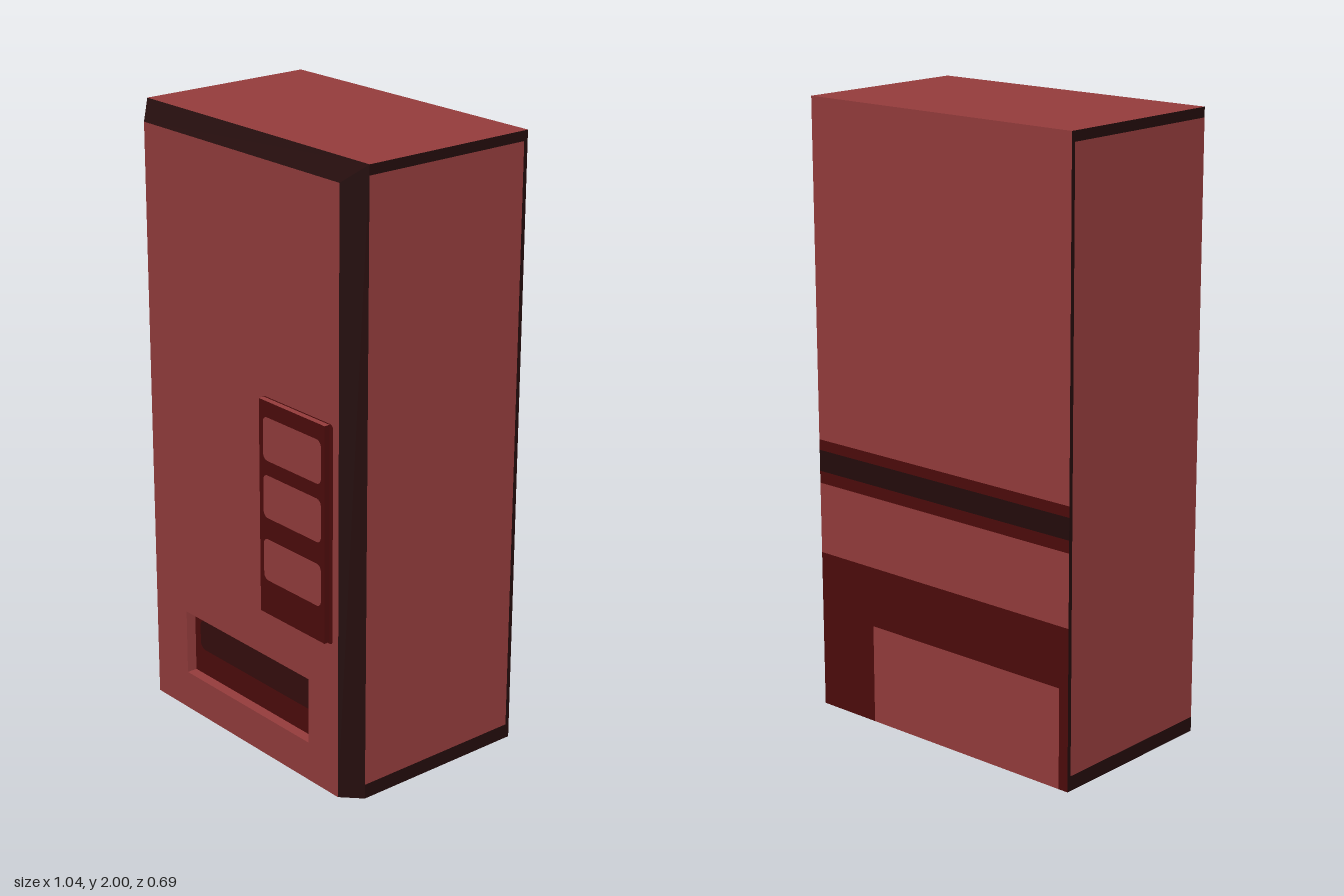
import * as THREE from 'three';

const W = 0.52, BACK = -0.345, SHOULDER = 0.267, FRONT = 0.325, FW = 0.46, FT = 1.945, H = 2;

const material = (name, color) => {
  const m = new THREE.MeshStandardMaterial({ color });
  m.name = name;
  return m;
};

// Flat convex face from corners listed anticlockwise as seen from outside
function face(name, mat, corners) {
  const g = new THREE.BufferGeometry();
  g.setAttribute('position', new THREE.Float32BufferAttribute(corners.flat(), 3));
  const index = [];
  for (let i = 1; i < corners.length - 1; i++) index.push(0, i, i + 1);
  g.setIndex(index);
  g.computeVertexNormals();
  const mesh = new THREE.Mesh(g, mat);
  mesh.name = name;
  return mesh;
}

// Rectangle outline with optional rounded corners
function rect(x0, y0, x1, y1, r = 0, Type = THREE.Shape) {
  const s = new Type();
  if (!r) {
    s.moveTo(x0, y0).lineTo(x1, y0).lineTo(x1, y1).lineTo(x0, y1).closePath();
    return s;
  }
  s.absarc(x1 - r, y0 + r, r, -Math.PI / 2, 0);
  s.absarc(x1 - r, y1 - r, r, 0, Math.PI / 2);
  s.absarc(x0 + r, y1 - r, r, Math.PI / 2, Math.PI);
  s.absarc(x0 + r, y0 + r, r, Math.PI, Math.PI * 1.5);
  s.closePath();
  return s;
}

function sheet(name, mat, shape, z) {
  const mesh = new THREE.Mesh(new THREE.ShapeGeometry(shape, 4), mat);
  mesh.name = name;
  mesh.position.z = z;
  return mesh;
}

export function createModel() {
  const red = material('cabinet red', 0x963d3d);
  const dark = material('dark red', 0x4e0c0c);
  const black = material('trim black', 0x240c0c);
  const shade = material('slot shade', 0x360d0d);
  const root = new THREE.Group();
  root.name = 'vendingMachine';

  // Front door with an opening for the delivery slot
  const [sx0, sy0, sx1, sy1, sz] = [-0.3, 0.13, 0.32, 0.35, FRONT - 0.035];
  const door = rect(-FW, 0, FW, FT);
  door.holes.push(rect(sx0, sy0, sx1, sy1, 0, THREE.Path));
  root.add(sheet('frontDoor', red, door, FRONT));

  // Recessed delivery slot
  const slot = new THREE.Group();
  slot.name = 'deliverySlot';
  slot.add(
    sheet('slotBack', dark, rect(sx0, sy0, sx1, sy1), sz),
    sheet('slotFlap', shade, rect(-0.27, 0.22, 0.31, 0.325, 0.025), sz + 0.002),
    face('slotFloor', red, [[sx0, sy0, FRONT], [sx1, sy0, FRONT], [sx1, sy0, sz], [sx0, sy0, sz]]),
    face('slotCeiling', dark, [[sx0, sy1, sz], [sx1, sy1, sz], [sx1, sy1, FRONT], [sx0, sy1, FRONT]]),
    face('slotWallRight', red, [[sx0, sy0, FRONT], [sx0, sy0, sz], [sx0, sy1, sz], [sx0, sy1, FRONT]]),
    face('slotWallLeft', dark, [[sx1, sy0, sz], [sx1, sy0, FRONT], [sx1, sy1, FRONT], [sx1, sy1, sz]]),
  );
  root.add(slot);

  // Raised selection panel: red on top, dark elsewhere
  const panel = new THREE.Group();
  panel.name = 'selectionPanel';
  const box = new THREE.Mesh(new THREE.BoxGeometry(0.305, 0.7, 0.02), [dark, dark, red, dark, dark, dark]);
  box.name = 'panelBody';
  box.position.set(0.2675, 0.865, FRONT + 0.01);
  panel.add(box, sheet('panelSurround', dark, rect(0.108, 0.51, 0.435, 1.218, 0.012), FRONT + 0.001));
  for (const [y0, y1] of [[1.025, 1.165], [0.838, 0.978], [0.63, 0.768]])
    panel.add(sheet('selectionButton', red, rect(0.135, y0, 0.405, y1, 0.02), FRONT + 0.0215));
  root.add(panel);

  // Bevelled trim around the door
  root.add(face('topBevel', black, [[-FW, FT, FRONT], [FW, FT, FRONT], [W, H, SHOULDER], [-W, H, SHOULDER]]));
  for (const s of [1, -1]) {
    const side = new THREE.Group();
    side.name = s > 0 ? 'leftSide' : 'rightSide';
    const add = (name, mat, pts) => {
      const c = pts.map(([x, y, z]) => [s * x, y, z]);
      side.add(face(name, mat, s > 0 ? c : c.reverse()));
    };
    const strip = (name, mat, zf, zb, y0, y1) =>
      add(name, mat, [[W, y0, zf], [W, y0, zb], [W, y1, zb], [W, y1, zf]]);
    add('sideBevel', black, [[FW, 0, FRONT], [W, 0, SHOULDER], [W, H, SHOULDER], [FW, FT, FRONT]]);
    strip('sidePanel', red, SHOULDER, -0.331, 0.048, 1.968);
    strip('sideTopTrim', black, SHOULDER, BACK, 1.968, H);
    strip('sideBottomTrim', black, SHOULDER, BACK, 0, 0.048);
    strip('sideRearTrim', black, -0.331, BACK, 0.048, 1.968);
    root.add(side);
  }

  // Roof and base
  root.add(face('roof', red, [[-W, H, SHOULDER], [W, H, SHOULDER], [W, H, BACK], [-W, H, BACK]]));
  root.add(face('base', red, [[-W, 0, BACK], [W, 0, BACK], [W, 0, SHOULDER],
    [FW, 0, FRONT], [-FW, 0, FRONT], [-W, 0, SHOULDER]]));

  // Back: horizontal bands, then the lower service hatch
  const back = new THREE.Group();
  back.name = 'back';
  const band = (name, mat, x0, x1, y0, y1) =>
    back.add(face(name, mat, [[x1, y0, BACK], [x0, y0, BACK], [x0, y1, BACK], [x1, y1, BACK]]));
  band('backPanel', red, -W, W, 0.905, H);
  band('grooveUpperEdge', dark, -W, W, 0.87, 0.905);
  band('groove', black, -W, W, 0.8, 0.87);
  band('grooveLowerEdge', dark, -W, W, 0.76, 0.8);
  band('backMiddleBand', red, -W, W, 0.525, 0.76);
  band('backLowerBand', dark, -W, W, 0.327, 0.525);
  band('hatchFrameRight', dark, -W, -0.485, 0, 0.327);
  band('serviceHatch', red, -0.485, 0.292, 0, 0.327);
  band('hatchFrameLeft', dark, 0.292, W, 0, 0.327);
  root.add(back);

  return root;
}
